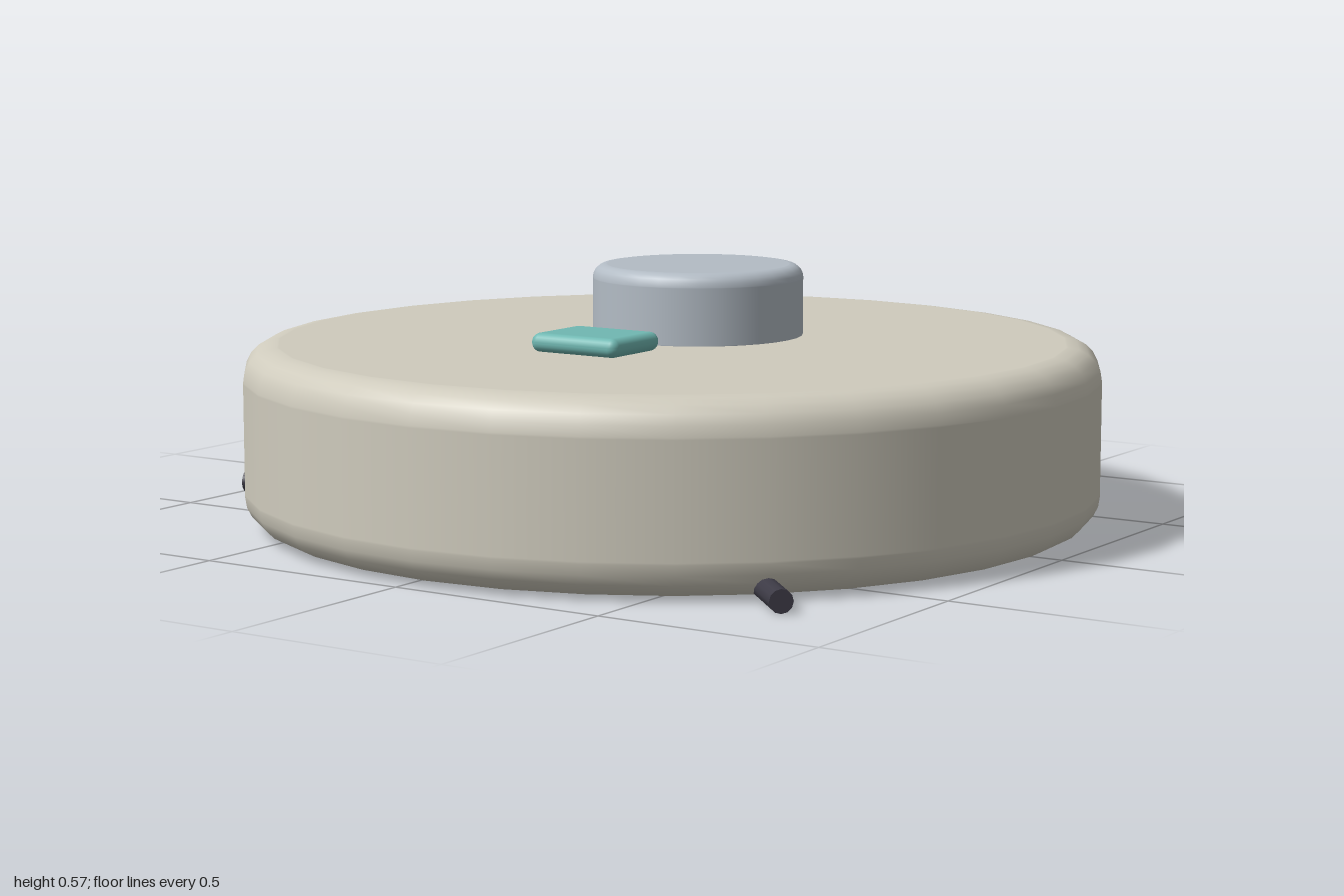
import * as THREE from 'three';
import { RoundedBoxGeometry } from 'three/addons/geometries/RoundedBoxGeometry.js';

const material = (name, color) => {
  const m = new THREE.MeshStandardMaterial({ color });
  m.name = name;
  return m;
};

// Disc with rounded top and bottom edges; guard rings keep the flats flat
function roundedDisc(radius, y0, y1, bevel, segments) {
  const steps = 5, guard = bevel * 0.06;
  const points = [new THREE.Vector2(0, y0), new THREE.Vector2(radius - bevel - guard, y0)];
  const arc = (cy, start) => {
    for (let i = 0; i <= steps; i++) {
      const a = start + (i / steps) * Math.PI / 2;
      points.push(new THREE.Vector2(radius - bevel + Math.cos(a) * bevel, cy + Math.sin(a) * bevel));
    }
  };
  arc(y0 + bevel, -Math.PI / 2);
  points.push(new THREE.Vector2(radius, y0 + bevel + guard));
  points.push(new THREE.Vector2(radius, y1 - bevel - guard));
  arc(y1 - bevel, 0);
  points.push(new THREE.Vector2(radius - bevel - guard, y1), new THREE.Vector2(0, y1));
  return new THREE.LatheGeometry(points, segments);
}

export function createModel() {
  const model = new THREE.Group();
  model.name = 'robotVacuum';
  const shell = material('warm grey shell', 0xcfcbbd);
  const blueGrey = material('blue grey turret', 0xb3bcc5);
  const teal = material('teal button', 0x70b8b2);
  const dark = material('dark bristle', 0x3d3b46);
  const cx = 0.036, cz = 0.036;

  const add = (name, geometry, mat, x, y, z, parent = model) => {
    const mesh = new THREE.Mesh(geometry, mat);
    mesh.name = name;
    mesh.position.set(x, y, z);
    parent.add(mesh);
    return mesh;
  };

  // Main housing and sensor turret
  add('body', roundedDisc(0.962, 0.005, 0.41, 0.075, 32), shell, cx, 0, cz);
  add('sensorTurret', roundedDisc(0.239, 0.38, 0.57, 0.03, 32), blueGrey, cx, 0, -0.07);

  // Control button
  add('button', new RoundedBoxGeometry(0.226, 0.042, 0.182, 3, 0.02), teal, cx - 0.002, 0.434, 0.337);

  // Three brush arms radiating from under the rim
  const brushes = new THREE.Group();
  brushes.name = 'brushArms';
  brushes.position.set(cx, 0, cz);
  model.add(brushes);
  const inner = 0.63, outer = 1.064;
  for (let i = 0; i < 3; i++) {
    const pivot = new THREE.Group();
    pivot.name = 'brushArmPivot';
    pivot.rotation.y = -(Math.PI / 4 + i * Math.PI * 2 / 3);
    brushes.add(pivot);
    const arm = add('brushArm', new THREE.CylinderGeometry(0.025, 0.025, outer - inner, 12),
      dark, (inner + outer) / 2, 0.0255, 0, pivot);
    arm.rotation.z = -Math.PI / 2;
  }
  return model;
}
